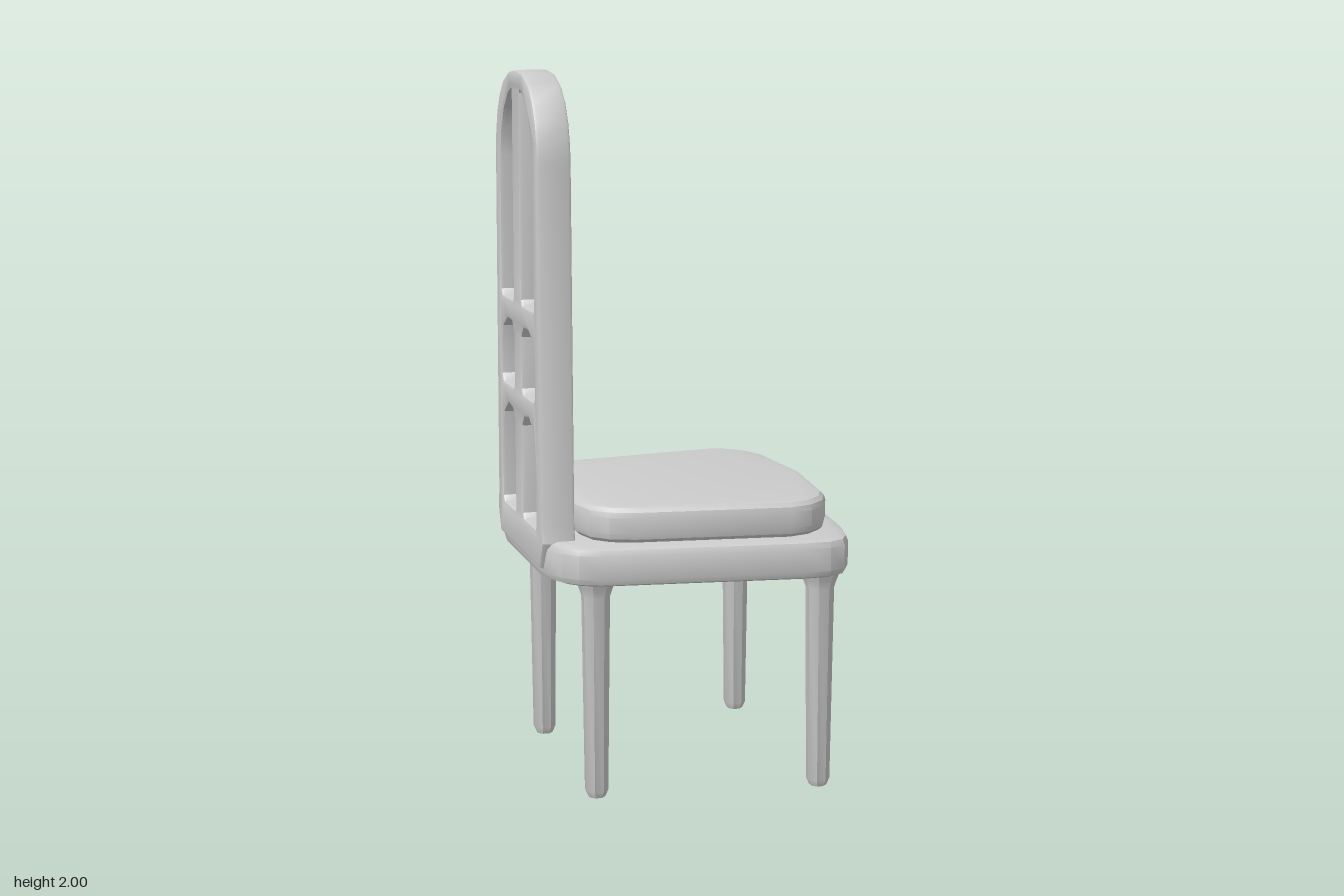
import * as THREE from 'three';
import { toCreasedNormals } from 'three/addons/utils/BufferGeometryUtils.js';

const material = new THREE.MeshStandardMaterial({ color: 0xcccccc });

const points = (list) => list.map(([a, b]) => new THREE.Vector2(a, b));
// Completes an outline mirrored in its second coordinate
const mirrorSecond = (half) => [
  ...half,
  ...half.filter(([, b]) => b !== 0).reverse().map(([a, b]) => [a, -b]),
];
// Completes an outline mirrored in its first coordinate
const mirrorFirst = (half) => [
  ...half,
  ...half.filter(([a]) => a !== 0).reverse().map(([a, b]) => [-a, b]),
];

// Bevelled solid whose overall size equals the outline and thickness
function bevelled(shape, thickness, bevel, segments) {
  const geometry = new THREE.ExtrudeGeometry(shape, {
    depth: thickness - 2 * bevel,
    bevelThickness: bevel,
    bevelSize: bevel,
    bevelOffset: -bevel,
    bevelSegments: segments,
    curveSegments: 4,
  });
  return geometry.translate(0, 0, bevel);
}

function addMesh(group, name, geometry) {
  const mesh = new THREE.Mesh(toCreasedNormals(geometry, 0.5), material);
  mesh.name = name;
  group.add(mesh);
  return mesh;
}

// Horizontal slab from half an (x, z) outline
function slab(half, bottom, top, bevel, segments) {
  const shape = new THREE.Shape(points(mirrorSecond(half)));
  return bevelled(shape, top - bottom, bevel, segments)
    .rotateX(-Math.PI / 2)
    .translate(0, bottom, 0);
}

export function createModel() {
  const chair = new THREE.Group();
  chair.name = 'chair';

  // Seat, wider at the front with rounded corners
  addMesh(chair, 'seat', slab([
    [0.445, 0], [0.42, 0.3], [0.40, 0.39], [0.373, 0.438], [0.325, 0.46],
    [0.25, 0.46], [-0.31, 0.387], [-0.365, 0.362], [-0.402, 0.325],
    [-0.432, 0.26], [-0.442, 0.2],
  ], 0.62, 0.73, 0.022, 2));

  // Cushion
  addMesh(chair, 'cushion', slab([
    [0.40, 0], [0.375, 0.27], [0.345, 0.34], [0.295, 0.385], [0.23, 0.405],
    [-0.2, 0.352], [-0.27, 0.327], [-0.315, 0.28], [-0.335, 0.2],
  ], 0.725, 0.83, 0.03, 3));

  // Arched backrest with a flared foot, in (z, y)
  const back = new THREE.Shape(points(mirrorFirst([
    [0.24, 0.65], [0.272, 0.725], [0.262, 0.77], [0.25, 1.76], [0.245, 1.81],
    [0.228, 1.87], [0.195, 1.925], [0.15, 1.965], [0.08, 1.993], [0, 2],
  ])));

  // Openings beside the centre bar: tall arch, then two low arches
  const openings = [
    [[0.043, 1.37], [0.055, 1.355], [0.185, 1.355], [0.2, 1.37], [0.194, 1.75],
      [0.18, 1.82], [0.145, 1.885], [0.095, 1.93], [0.053, 1.947], [0.043, 1.94]],
    [[0.043, 1.12], [0.058, 1.105], [0.185, 1.105], [0.2, 1.125], [0.2, 1.21],
      [0.185, 1.265], [0.125, 1.295], [0.068, 1.293], [0.043, 1.265]],
    [[0.043, 0.765], [0.055, 0.75], [0.19, 0.75], [0.202, 0.765], [0.2, 0.93],
      [0.182, 1.015], [0.125, 1.05], [0.068, 1.043], [0.043, 1.015]],
  ];
  for (const opening of openings) {
    for (const side of [1, -1]) {
      back.holes.push(new THREE.Path(points(opening.map(([z, y]) => [side * z, y]))));
    }
  }
  addMesh(chair, 'backrest',
    bevelled(back, 0.097, 0.01, 2).rotateY(Math.PI / 2).translate(-0.447, 0, 0));

  // Tapered octagonal legs, flared where they meet the seat
  const legProfile = points([
    [0, 0.005], [0.024, 0.005], [0.033, 0.025], [0.04, 0.58], [0.048, 0.605], [0.058, 0.63],
  ]);
  const legs = { frontLeg: [0.32, 0.385], rearLeg: [-0.305, 0.307] };
  for (const [name, [x, z]] of Object.entries(legs)) {
    for (const side of [1, -1]) {
      const leg = addMesh(chair, name,
        new THREE.LatheGeometry(legProfile, 8).rotateY(Math.PI / 8));
      leg.position.set(x, 0, side * z);
    }
  }

  return chair;
}
